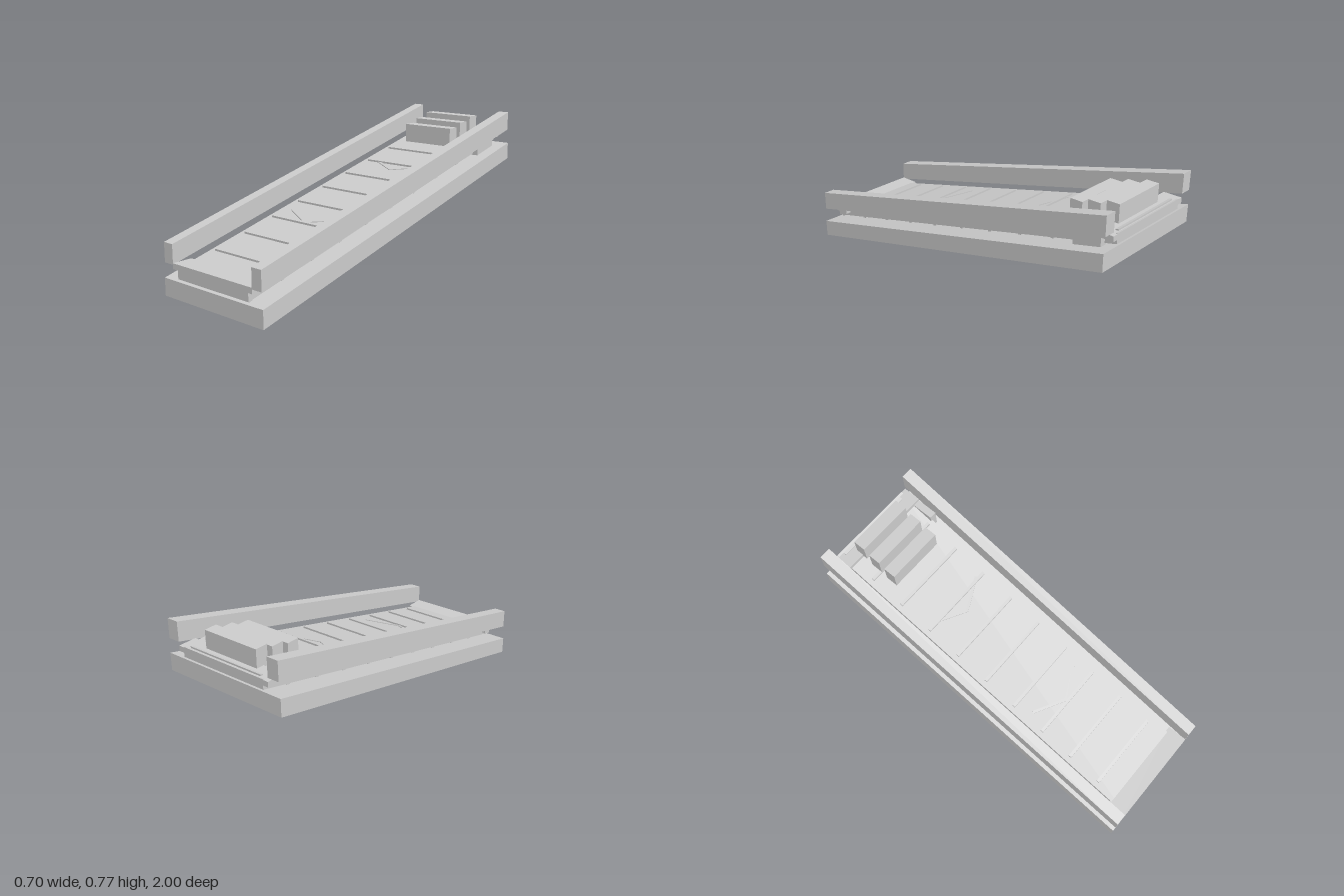
import * as THREE from 'three';

const SLOPE = 0.25; // rise per unit of depth towards the back
const material = new THREE.MeshStandardMaterial({ color: 0xcccccc, flatShading: true });

// Lean a geometry along the incline, keeping vertical ends
function incline(geometry) {
  const p = geometry.attributes.position;
  for (let i = 0; i < p.count; i++) p.setY(i, p.getY(i) - SLOPE * p.getZ(i));
  geometry.computeVertexNormals();
  return geometry;
}

export function createModel() {
  const model = new THREE.Group();
  model.name = 'inclinedConveyor';

  function add(name, geometry) {
    const mesh = new THREE.Mesh(geometry, material);
    mesh.name = name;
    model.add(mesh);
  }
  // Box from its limits on each axis
  const box = (x0, x1, y0, y1, z0, z1) =>
    new THREE.BoxGeometry(x1 - x0, y1 - y0, z1 - z0)
      .translate((x0 + x1) / 2, (y0 + y1) / 2, (z0 + z1) / 2);
  // Sloped box; heights are those at z = 0
  const ramp = (...limits) => incline(box(...limits));

  // Base and belt
  add('base', ramp(-0.35, 0.35, 0.25, 0.343, -1, 1));
  add('belt', ramp(-0.25, 0.25, 0.353, 0.405, -1, 0.995));

  // Side rails
  add('leftRail', ramp(0.28, 0.343, 0.422, 0.525, -1, 1));
  add('rightRail', ramp(-0.343, -0.28, 0.422, 0.525, -1, 1));

  // Cleats across the belt
  for (let i = -5; i <= 5; i++) {
    const z = i * 0.195;
    add('cleat', ramp(-0.22, 0.22, 0.403, 0.415, z - 0.008, z + 0.008));
  }

  // Thin spacers under the belt
  for (let i = 0; i < 10; i++) {
    const z = 0.97 - i * 0.2;
    add('spacer', ramp(-0.24, 0.24, 0.342, 0.354, z - 0.01, z + 0.01));
  }

  // Level end plates
  add('frontPlate', box(-0.28, 0.28, 0.15, 0.18, 0.89, 1));
  add('backPlate', box(-0.28, 0.28, 0.624, 0.652, -1, -0.9));

  // Drive housing on the left side
  add('driveHousing', box(0.24, 0.28, 0.535, 0.637, -0.935, -0.78));

  // Three level blocks stepping up at the top
  [[-0.7025, 0.59], [-0.805, 0.615], [-0.907, 0.642]].forEach(([z, y]) =>
    add('block', box(-0.16, 0.16, y, y + 0.105, z - 0.035, z + 0.035)));

  // Direction chevrons lying on the belt, pointing down the slope
  for (const z of [0.385, -0.31]) {
    const v = new THREE.Shape([
      [0, 0], [0.18, 0.09], [0.172, 0.102], [0, 0.016], [-0.172, 0.102], [-0.18, 0.09],
    ].map(([x, y]) => new THREE.Vector2(x, y)));
    const geometry = new THREE.ExtrudeGeometry(v, { depth: 0.007, bevelEnabled: false });
    geometry.rotateX(-Math.PI / 2).translate(0, 0.402, z);
    add('chevron', incline(geometry));
  }

  return model;
}
